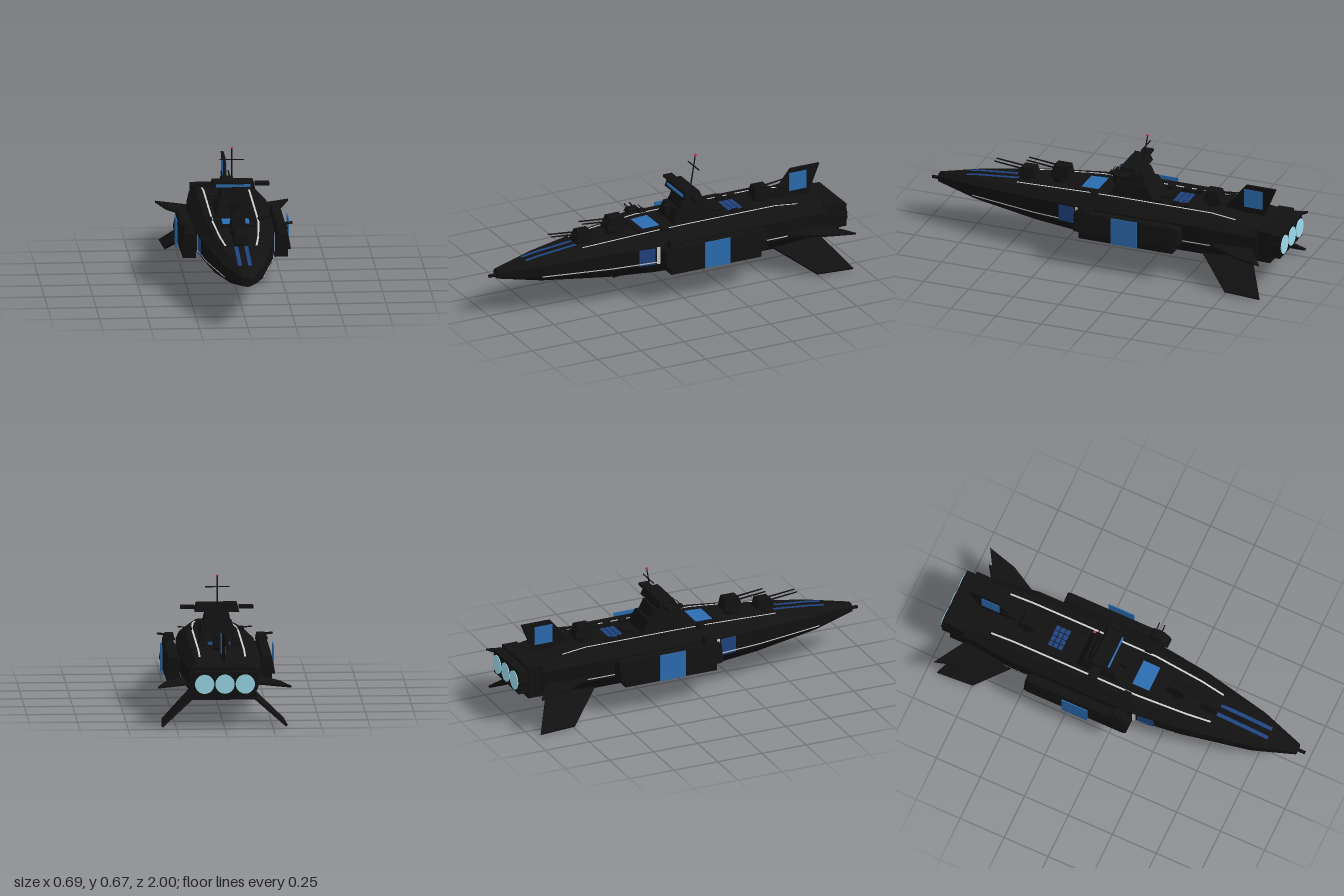
import * as THREE from 'three';
import { ConvexGeometry } from 'three/addons/geometries/ConvexGeometry.js';

const paint = (color) => new THREE.MeshStandardMaterial({ color, flatShading: true, side: THREE.DoubleSide });

export function createModel() {
  const root = new THREE.Group();
  const black = paint(0x111111), blue = paint(0x2b6cb0), navy = paint(0x1f4380);
  const white = paint(0xdddddd), glow = paint(0x9bdcec), red = paint(0xc04050);

  const add = (name, geo, mat = black, parent = root) => {
    const m = new THREE.Mesh(geo, mat);
    m.name = name;
    parent.add(m);
    return m;
  };
  const box = (name, w, h, d, x, y, z, mat, parent) => {
    const m = add(name, new THREE.BoxGeometry(w, h, d), mat, parent);
    m.position.set(x, y, z);
    return m;
  };
  // Tapered block: half width and z range at the bottom, then at the top
  const frustum = (name, y0, [w0, b0, f0], y1, [w1, b1, f1], parent) => {
    const pts = [];
    for (const s of [-1, 1]) {
      for (const z of [b0, f0]) pts.push(new THREE.Vector3(s * w0, y0, z));
      for (const z of [b1, f1]) pts.push(new THREE.Vector3(s * w1, y1, z));
    }
    return add(name, new ConvexGeometry(pts), black, parent);
  };
  // Skin through rings listed front to back, each counter-clockwise seen from the front
  const loft = (rings) => {
    const n = rings[0].length, idx = [];
    for (let i = 0; i < rings.length - 1; i++) {
      for (let j = 0; j < n; j++) {
        const k = (j + 1) % n, a = i * n, b = a + n;
        idx.push(a + j, b + j, b + k, a + j, b + k, a + k);
      }
    }
    const e = (rings.length - 1) * n;
    for (let j = 1; j < n - 1; j++) idx.push(0, j, j + 1, e, e + j + 1, e + j);
    const g = new THREE.BufferGeometry();
    g.setAttribute('position', new THREE.Float32BufferAttribute(rings.flat(2), 3));
    g.setIndex(idx);
    g.computeVertexNormals();
    return g;
  };
  // Thin plate through corner points, thickened along one direction
  const plate = (name, corners, t) => add(name, new ConvexGeometry(corners.flatMap((c) => {
    const p = new THREE.Vector3(...c), d = new THREE.Vector3(...t);
    return [p.clone().add(d), p.sub(d)];
  })));

  // Hull stations: z, half widths (deck, side, keel), heights (deck, upper, lower, keel)
  const stations = [
    [0.96, 0.014, 0.026, 0.014, 0.258, 0.247, 0.222, 0.212],
    [0.73, 0.06, 0.1, 0.07, 0.295, 0.268, 0.205, 0.178],
    [0.37, 0.118, 0.17, 0.125, 0.33, 0.29, 0.198, 0.147],
    [0.1, 0.15, 0.2, 0.152, 0.348, 0.298, 0.195, 0.134],
    [-0.1, 0.155, 0.205, 0.155, 0.35, 0.3, 0.195, 0.13],
    [-0.6, 0.155, 0.205, 0.155, 0.35, 0.3, 0.195, 0.13],
    [-0.87, 0.14, 0.175, 0.14, 0.318, 0.285, 0.19, 0.135],
  ];
  const hullAt = (z) => {
    let i = 0;
    while (i < stations.length - 2 && z < stations[i + 1][0]) i++;
    const a = stations[i], b = stations[i + 1], t = (z - a[0]) / (b[0] - a[0]);
    return a.map((v, k) => v + (b[k] - v) * t);
  };
  add('hull', loft(stations.map(([z, wt, wm, wb, yt, yu, yl, yb]) => [
    [wb, yb, z], [wm, yl, z], [wm, yu, z], [wt, yt, z],
    [-wt, yt, z], [-wm, yu, z], [-wm, yl, z], [-wb, yb, z],
  ])));
  const prow = add('noseProbe', new THREE.CylinderGeometry(0.009, 0.009, 0.06, 10));
  prow.rotation.x = Math.PI / 2;
  prow.position.set(0, 0.228, 0.97);

  // Painted bands following the hull; edges(z, h) gives the two edge points
  const band = (name, z0, z1, mat, edges) => {
    const zs = [z0, ...stations.map((s) => s[0]).filter((z) => z < z0 && z > z1), z1];
    const idx = [];
    for (let i = 0; i < zs.length - 1; i++) idx.push(2 * i, 2 * i + 1, 2 * i + 2, 2 * i + 1, 2 * i + 3, 2 * i + 2);
    const g = new THREE.BufferGeometry();
    g.setAttribute('position', new THREE.Float32BufferAttribute(zs.flatMap((z) => edges(z, hullAt(z)).flat()), 3));
    g.setIndex(idx);
    g.computeVertexNormals();
    add(name, g, mat);
  };
  for (const s of [-1, 1]) {
    band('deckLine', 0.5, -0.73, white, (z, h) => {
      const x = Math.min(0.118, h[1] * 0.83);
      return [[s * (x - 0.005), h[4] + 0.003, z], [s * (x + 0.005), h[4] + 0.003, z]];
    });
    band('bowStripe', 0.8, 0.51, navy, (z, h) => [[s * 0.016, h[4] + 0.003, z], [s * 0.036, h[4] + 0.003, z]]);
    const side = (y0, y1) => (z, h) => [[s * (h[2] + 0.003), y0, z], [s * (h[2] + 0.003), y1, z]];
    band('sideLine', 0.74, -0.76, white, side(0.208, 0.214));
    band('sidePanel', 0.225, 0.135, navy, side(0.2, 0.291));
    band('sideMark', 0.128, 0.11, white, side(0.2, 0.296));
  }
  box('deckPanel', 0.14, 0.004, 0.11, 0, 0.352, 0.105, blue).rotation.x = 0.05;

  // Deck hatch of small blue cells
  for (let i = 0; i < 4; i++) {
    for (let j = 0; j < 3; j++) box('hatchCell', 0.026, 0.004, 0.023, -0.045 + i * 0.03, 0.352, -0.425 + j * 0.028, navy);
  }
  box('deckLocker', 0.08, 0.015, 0.06, 0, 0.355, -0.31);
  box('deckRidge', 0.2, 0.012, 0.16, 0, 0.346, 0.1);

  // Bridge tower
  frustum('towerBase', 0.34, [0.095, -0.265, -0.02], 0.42, [0.08, -0.225, -0.05]);
  frustum('towerTop', 0.42, [0.072, -0.21, -0.07], 0.478, [0.06, -0.19, -0.09]);
  frustum('bridgeCabin', 0.48, [0.115, -0.18, -0.075], 0.52, [0.105, -0.165, -0.085]);
  box('bridgeNeck', 0.1, 0.01, 0.08, 0, 0.478, -0.135);
  box('bridgeWindow', 0.18, 0.013, 0.008, 0, 0.5, -0.077, blue);
  for (const s of [-1, 1]) box('bridgeWing', 0.074, 0.014, 0.05, s * 0.152, 0.5, -0.13);
  box('sensorBlock', 0.04, 0.05, 0.04, 0, 0.4, -0.03);

  // Mast leaning aft
  const mast = new THREE.Group();
  mast.name = 'mast';
  mast.position.set(0, 0.515, -0.17);
  mast.rotation.x = -0.16;
  root.add(mast);
  add('mastPole', new THREE.CylinderGeometry(0.003, 0.004, 0.16, 8), black, mast).position.y = 0.08;
  box('mastYard', 0.126, 0.005, 0.005, 0, 0.1, 0, black, mast);
  box('mastLight', 0.012, 0.008, 0.012, 0, 0.161, 0, red, mast);

  // Gun turret facing +z before it is turned
  const turret = (name, x, y, z, [w, h, d], barrel, yaw = 0, pitch = 0.1) => {
    const g = new THREE.Group();
    g.name = name;
    g.position.set(x, y, z);
    g.rotation.y = yaw;
    root.add(g);
    add('turretRing', new THREE.CylinderGeometry(w * 0.95, w, h * 0.35, 16), black, g).position.y = h * 0.17;
    frustum('turretHouse', h * 0.3, [w, -d / 2, d / 2], h, [w * 0.75, -d * 0.4, d * 0.3], g);
    for (const s of [-1, 1]) {
      const arm = new THREE.Group();
      arm.position.set(s * w * 0.45, h * 0.75, 0);
      arm.rotation.x = Math.PI / 2 - pitch;
      g.add(arm);
      add('barrel', new THREE.CylinderGeometry(w * 0.09, w * 0.12, barrel, 8), black, arm).position.y = barrel / 2;
    }
    return g;
  };
  turret('foreTurret', 0, 0.315, 0.465, [0.04, 0.07, 0.1], 0.185);
  turret('upperForeTurret', 0, 0.335, 0.28, [0.042, 0.092, 0.11], 0.19);
  turret('aftTurret', 0, 0.345, -0.57, [0.042, 0.085, 0.1], 0.15, Math.PI, 0.12);
  turret('bellyTurret', 0, 0.14, 0.14, [0.036, 0.056, 0.085], 0.15, 0, 0.08).rotation.z = Math.PI;

  for (const s of [-1, 1]) {
    // Side pods with raised caps, keel boxes and side guns
    const pod = (z, k) => {
      const ring = [[0.19, 0.2], [0.287, 0.2], [0.283, 0.225], [0.268, 0.3], [0.222, 0.3], [0.19, 0.25]]
        .map(([x, y]) => [s * (0.24 + (x - 0.24) * k), 0.235 + (y - 0.235) * k, z]);
      return s > 0 ? ring : ring.reverse();
    };
    add('sidePod', loft([pod(0.11, 0.9), pod(0.09, 1), pod(-0.45, 1), pod(-0.47, 0.9)]));
    box('podKeel', 0.068, 0.045, 0.52, s * 0.238, 0.18, -0.18);
    box('podPanel', 0.005, 0.145, 0.145, s * 0.289, 0.238, -0.178, blue);
    turret('podGun', s * 0.24, 0.298, 0.05, [0.034, 0.036, 0.06], 0.06, s * Math.PI / 2, 0.12);
    turret('deckGun', s * 0.135, 0.343, 0.05, [0.02, 0.024, 0.035], 0.058, s * Math.PI / 2, 0.1);
    for (const z of [-0.29, -0.38, -0.45]) box('deckVent', 0.03, 0.018, 0.04, s * 0.09, 0.356, z);

    // Tail wings and down-swept fins
    plate('tailWing', [[s * 0.18, 0.215, -0.58], [s * 0.3, 0.214, -0.79], [s * 0.345, 0.214, -0.95], [s * 0.16, 0.215, -0.84]], [0, 0.005, 0]);
    plate('lowerFin', [[s * 0.155, 0.145, -0.555], [s * 0.312, 0.014, -0.745], [s * 0.323, 0.009, -0.945], [s * 0.155, 0.145, -0.84]], [s * 0.004, 0.005, 0]);
    box('finPanel', 0.003, 0.1, 0.1, s * 0.0085, 0.415, -0.785, blue);
  }
  plate('topFin', [[0, 0.335, -0.62], [0, 0.487, -0.745], [0, 0.487, -0.91], [0, 0.33, -0.845]], [0.007, 0, 0]);

  // Engine block and three nozzles
  box('engineCollar', 0.33, 0.17, 0.085, 0, 0.232, -0.9);
  box('engineBlock', 0.31, 0.125, 0.055, 0, 0.238, -0.965);
  for (const x of [-0.105, 0, 0.105]) {
    const rim = add('nozzleRim', new THREE.CylinderGeometry(0.055, 0.055, 0.06, 28));
    const disc = add('nozzleGlow', new THREE.CylinderGeometry(0.05, 0.05, 0.01, 28), glow);
    for (const m of [rim, disc]) m.rotation.x = Math.PI / 2;
    rim.position.set(x, 0.238, -0.966);
    disc.position.set(x, 0.238, -0.995);
  }
  return root;
}
